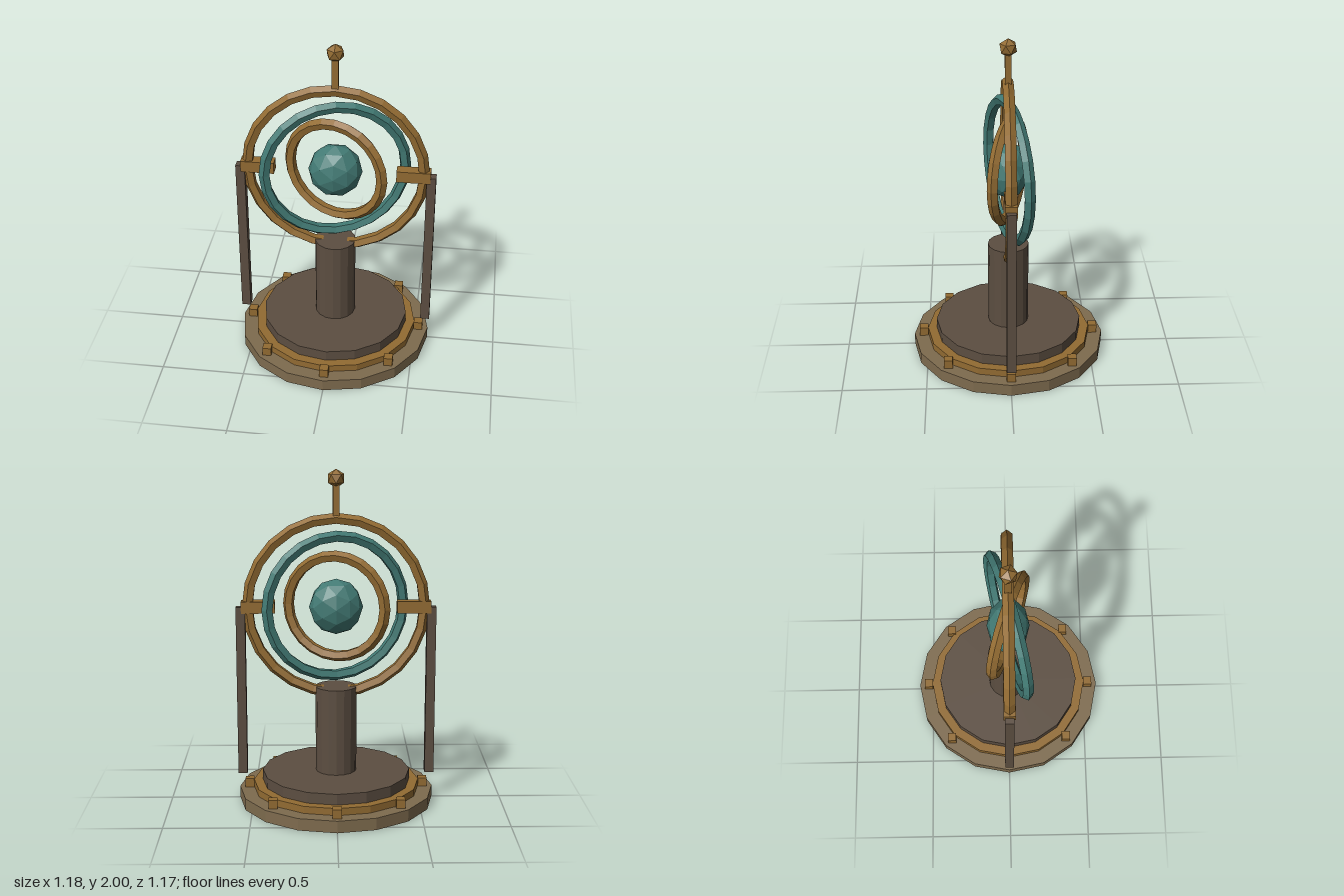
import * as THREE from 'three';

export function createModel() {
  const model = new THREE.Group();
  model.name = 'armillaryOrrery';

  const mat = (name, color) => {
    const m = new THREE.MeshStandardMaterial({ color, flatShading: true });
    m.name = name;
    return m;
  };
  const brass = mat('brass', 0x926b32);
  const stone = mat('tan stone', 0x7e6b4e);
  const iron = mat('dark iron', 0x5c4e41);
  const teal = mat('teal', 0x427a74);

  const add = (name, geometry, material, x = 0, y = 0, z = 0) => {
    const mesh = new THREE.Mesh(geometry, material);
    mesh.name = name;
    mesh.position.set(x, y, z);
    model.add(mesh);
    return mesh;
  };
  const disc = (name, r, y0, y1, material) =>
    add(name, new THREE.CylinderGeometry(r, r, y1 - y0, 16), material, 0, (y0 + y1) / 2);

  // Stepped base and central column
  disc('baseSlab', 0.585, 0, 0.072, stone);
  disc('baseBand', 0.5, 0.072, 0.115, brass);
  disc('basePlate', 0.445, 0.115, 0.18, iron);
  disc('column', 0.123, 0.18, 0.705, iron);

  // Eight square studs around the base
  for (let i = 0; i < 8; i++) {
    const a = (i * Math.PI) / 4;
    add('stud', new THREE.BoxGeometry(0.053, 0.053, 0.053), brass,
      0.525 * Math.sin(a), 0.1, 0.525 * Math.cos(a));
  }

  // Side posts with the pivot blocks that hold the rings
  const cy = 1.19;
  for (const s of [-1, 1]) {
    add('post', new THREE.BoxGeometry(0.055, 1.025, 0.055), iron, s * 0.565, 0.6775);
    add('pivotBlock', new THREE.BoxGeometry(0.2, 0.07, 0.07), brass, s * 0.461, cy);
  }

  // Nested rings, each turned about the vertical axis
  const ring = (name, r, turn, material) => {
    add(name, new THREE.TorusGeometry(r, 0.034, 5, 24), material, 0, cy).rotation.y = turn;
  };
  ring('outerRing', 0.522, 0, brass);
  ring('middleRing', 0.417, 0.26, teal);
  ring('innerRing', 0.3, -0.33, brass);

  // Faceted globe, slightly flattened front to back
  add('globe', new THREE.IcosahedronGeometry(1, 1), teal, 0, cy).scale.set(0.16, 0.167, 0.125);

  // Finial: stem and a faceted knob standing on its point
  add('finialStem', new THREE.BoxGeometry(0.038, 0.18, 0.038), brass, 0, 1.82);
  add('finialKnob', new THREE.IcosahedronGeometry(0.055, 0), brass, 0, 1.945).rotation.x =
    -Math.atan((1 + Math.sqrt(5)) / 2);

  return model;
}
